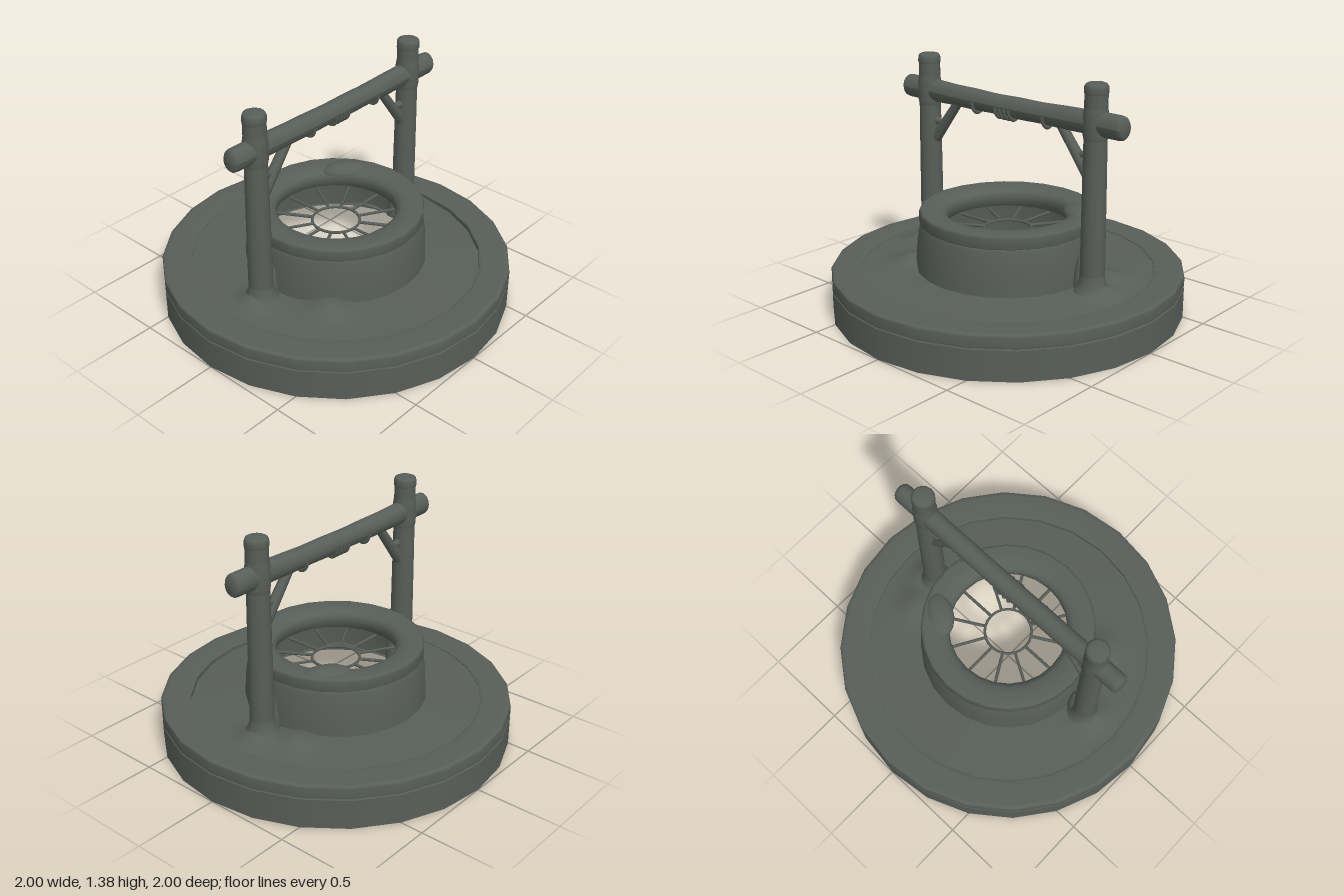
import * as THREE from 'three';

const stone = new THREE.MeshStandardMaterial({ color: 0x585e59, side: THREE.DoubleSide });
stone.name = 'dark stone';

function add(parent, name, geometry) {
  const mesh = new THREE.Mesh(geometry, stone);
  mesh.name = name;
  parent.add(mesh);
  return mesh;
}

// Revolved part from [radius, height] pairs
function lathe(parent, name, points, sides = 24) {
  return add(parent, name, new THREE.LatheGeometry(points.map(p => new THREE.Vector2(...p)), sides));
}

// Round bar between two points
function bar(parent, name, a, b, r0, r1 = r0, sides = 8) {
  const from = new THREE.Vector3(...a), to = new THREE.Vector3(...b);
  const dir = to.clone().sub(from);
  const mesh = add(parent, name, new THREE.CylinderGeometry(r1, r0, dir.length(), sides));
  mesh.position.copy(from).add(to).multiplyScalar(0.5);
  mesh.quaternion.setFromUnitVectors(new THREE.Vector3(0, 1, 0), dir.normalize());
}

// Low rounded lump
function lump(parent, name, [x, y, z], [sx, sy, sz], turn = 0) {
  const mesh = add(parent, name, new THREE.SphereGeometry(1, 14, 6, 0, Math.PI * 2, 0, Math.PI / 2));
  mesh.position.set(x, y, z);
  mesh.scale.set(sx, sy, sz);
  mesh.rotation.y = turn;
}

// Earth mounds: x, z, height, spread
const mounds = [
  [-0.66, 0, 0.06, 0.08], [0.66, 0, 0.06, 0.08],
  [-0.43, 0.34, 0.05, 0.1], [0.57, -0.2, 0.045, 0.1],
];

// Ground sheet, a little lower at the front left, with soft mounds
function groundGeometry() {
  const profile = [];
  for (let i = 0; i <= 10; i++) profile.push(new THREE.Vector2(0.83 - 0.033 * i, 0));
  const g = new THREE.LatheGeometry(profile, 72);
  const p = g.attributes.position;
  for (let i = 0; i < p.count; i++) {
    const x = p.getX(i), z = p.getZ(i), r = Math.hypot(x, z);
    const outer = (r - 0.5) / 0.33;
    let y = 0.247 - outer * (0.008 + 0.025 * Math.max(0, (x + z) / r / 1.42));
    for (const [mx, mz, h, s] of mounds) {
      y += h * Math.exp(-((x - mx) ** 2 + (z - mz) ** 2) / (s * s)) * Math.min(1, 4 * (1 - outer));
    }
    p.setY(i, y);
  }
  g.computeVertexNormals();
  return g;
}

// Crossbar with rounded ends, sagging and thinning slightly in the middle
function beamGeometry() {
  const profile = [[0, -0.795], [0.05, -0.793], [0.063, -0.78]];
  for (let i = 0; i <= 24; i++) profile.push([0.066, -0.76 + i * 1.52 / 24]);
  profile.push([0.063, 0.78], [0.05, 0.793], [0, 0.795]);
  const g = new THREE.LatheGeometry(profile.map(p => new THREE.Vector2(...p)), 14);
  g.rotateZ(-Math.PI / 2);
  const p = g.attributes.position;
  for (let i = 0; i < p.count; i++) {
    const x = p.getX(i), t = Math.max(0, 1 - (x / 0.6) ** 2);
    const k = 1 - 0.12 * t + 0.03 * Math.sin(x * 19) * t;
    p.setXYZ(i, x, p.getY(i) * k - 0.007 * t, p.getZ(i) * 0.82);
  }
  g.computeVertexNormals();
  return g;
}

export function createModel() {
  const model = new THREE.Group();
  model.name = 'well';

  // Round base, hollow underneath
  const base = new THREE.Group();
  base.name = 'base';
  model.add(base);
  lathe(base, 'baseWall', [[1, 0], [1, 0.17]]);
  lathe(base, 'baseGroove', [[1, 0.17], [0.99, 0.175], [0.998, 0.18]]);
  lathe(base, 'baseLip', [[0.998, 0.18], [1, 0.19], [1, 0.238], [0.994, 0.247], [0.975, 0.25]]);
  lathe(base, 'baseTop', [[0.975, 0.25], [0.845, 0.25], [0.83, 0.243]]);
  lathe(base, 'baseTopInner', [[0.83, 0.243], [0.83, 0.205]]);
  add(base, 'ground', groundGeometry());

  // Well wall and rounded rim
  const ring = new THREE.Group();
  ring.name = 'wellRing';
  model.add(ring);
  lathe(ring, 'wellWall', [[0.52, 0.235], [0.517, 0.3], [0.51, 0.4], [0.495, 0.49], [0.487, 0.505]]);
  lathe(ring, 'wellRim', [[0.487, 0.503], [0.498, 0.51], [0.499, 0.565], [0.494, 0.579], [0.48, 0.584],
    [0.42, 0.584], [0.375, 0.576], [0.35, 0.56], [0.339, 0.535], [0.342, 0.5], [0.36, 0.47]]);
  lump(ring, 'rimLump', [0.33, 0.56, -0.22], [0.14, 0.048, 0.08], -0.6);

  // Spoked grate inside the opening
  const grate = new THREE.Group();
  grate.name = 'grate';
  grate.position.y = 0.458;
  model.add(grate);
  const hoop = add(grate, 'grateHoop', new THREE.TorusGeometry(0.136, 0.008, 6, 24));
  hoop.rotation.x = Math.PI / 2;
  for (let i = 0; i < 12; i++) {
    const a = i * Math.PI / 6, c = Math.cos(a), s = Math.sin(a);
    bar(grate, 'grateSpoke', [0.136 * c, 0, 0.136 * s], [0.36 * c, 0, 0.36 * s], 0.009, 0.009, 6);
  }

  // Posts with braces and stones at the feet
  for (const side of [-1, 1]) {
    const post = new THREE.Group();
    post.name = side > 0 ? 'leftPost' : 'rightPost';
    post.position.x = side * 0.607;
    model.add(post);
    lathe(post, 'postShaft', [[0.068, 0.2], [0.067, 0.5], [0.064, 0.9], [0.062, 1.1], [0.062, 1.325]], 14);
    lathe(post, 'postCap', [[0.06, 1.322], [0.065, 1.33], [0.064, 1.36], [0.058, 1.374], [0.045, 1.38], [0, 1.381]], 14);
    lathe(post, 'postCollar', [[0.062, 1.08], [0.068, 1.11], [0.068, 1.21], [0.062, 1.25]], 14);
    lathe(post, 'postFoot', [[0.11, 0.235], [0.09, 0.265], [0.075, 0.295], [0.067, 0.34]], 14);
    bar(post, 'brace', [-side * 0.045, 0.885, 0], [-side * 0.23, 1.125, 0], 0.033, 0.027);
    bar(post, 'braceKnot', [-side * 0.05, 0.99, 0], [-side * 0.112, 0.985, 0], 0.024, 0.014);
    lump(post, 'footStone', [-side * 0.07, 0.24, 0], [0.045, 0.2, 0.05]);
  }

  add(model, 'crossbar', beamGeometry()).position.set(0.005, 1.169, 0);

  // Rope turns hanging round the underside of the crossbar
  for (const x of [-0.222, -0.048, -0.016, 0.016, 0.048, 0.29]) {
    const rope = add(model, 'ropeTurn', new THREE.TorusGeometry(0.054, 0.01, 6, 12, Math.PI));
    rope.rotation.set(0, Math.PI / 2, Math.PI);
    rope.scale.y = 1.2;
    rope.position.set(x, 1.158, 0);
  }
  return model;
}
